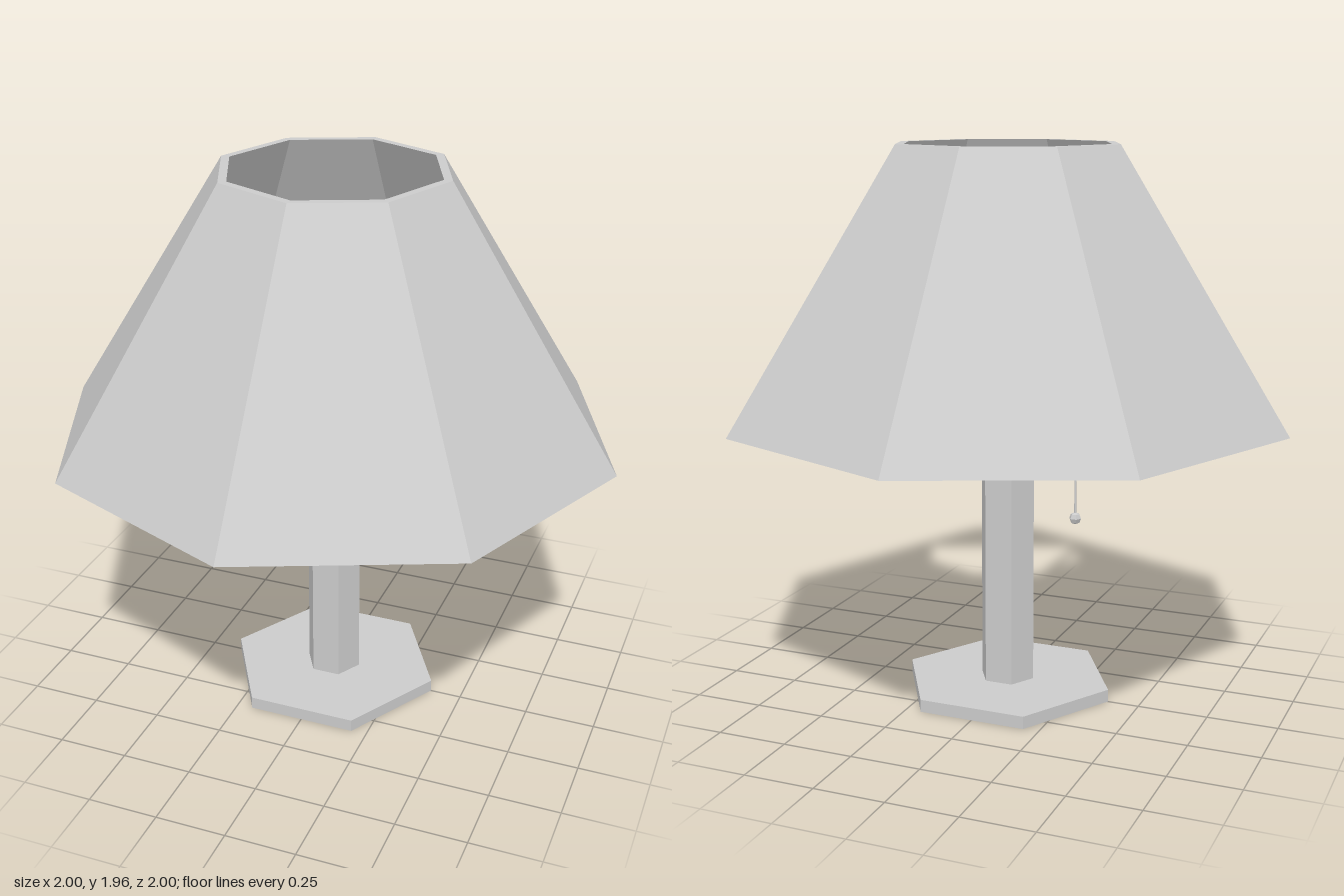
import * as THREE from 'three';

const material = new THREE.MeshStandardMaterial({ color: 0xcccccc, flatShading: true });

export function createModel() {
  const lamp = new THREE.Group();
  lamp.name = 'tableLamp';

  const add = (name, geometry, x = 0, y = 0, z = 0) => {
    const mesh = new THREE.Mesh(geometry, material);
    mesh.name = name;
    mesh.position.set(x, y, z);
    lamp.add(mesh);
    return mesh;
  };

  // Faceted solid turned from [radius, height] pairs, listed bottom to top on the outside
  const turned = (name, profile, sides, start = 0) =>
    add(name, new THREE.LatheGeometry(profile.map(([r, y]) => new THREE.Vector2(r, y)), sides, start));

  // Hexagonal foot, pole, neck and bulb, with corners on the x axis
  const hex = Math.PI / 2;
  turned('base', [[0, 0], [0.387, 0], [0.387, 0.045], [0, 0.045]], 6, hex);
  turned('pole', [[0, 0.045], [0.1, 0.045], [0.1, 1.07], [0, 1.07]], 6, hex);
  turned('neck', [[0.062, 1.07], [0.062, 1.26]], 6, hex);
  turned('bulb', [[0, 1.24], [0.065, 1.24], [0.118, 1.31], [0.118, 1.37], [0.072, 1.45], [0, 1.45]], 6, hex);

  // Eight-sided shade, a closed shell that is thicker at the lower rim
  turned('shade', [[1, 1.02], [0.402, 1.96], [0.372, 1.96], [0.93, 1.02], [1, 1.02]], 8);

  // Four spokes joining the pole to the lower rim
  for (let i = 0; i < 4; i++) {
    const angle = i * Math.PI / 2;
    const reach = 0.49;
    const spoke = add('spoke', new THREE.BoxGeometry(0.87, 0.03, 0.03),
      Math.cos(angle) * reach, 1.04, -Math.sin(angle) * reach);
    spoke.rotation.y = angle;
  }

  // Pull switch: arm from the neck, tapered holder, cord and bead
  const cordX = -0.167, cordZ = 0.25;
  const arm = add('switchArm', new THREE.BoxGeometry(0.03, 0.03, 0.29), cordX / 2, 1.1, cordZ / 2);
  arm.rotation.y = Math.atan2(cordX, cordZ);
  add('cordHolder', new THREE.CylinderGeometry(0.014, 0.004, 0.16, 6), cordX, 1.03, cordZ);
  add('pullCord', new THREE.CylinderGeometry(0.004, 0.004, 0.48, 6), cordX, 0.83, cordZ);
  add('pullBead', new THREE.SphereGeometry(0.023, 6, 4), cordX, 0.59, cordZ);

  return lamp;
}
